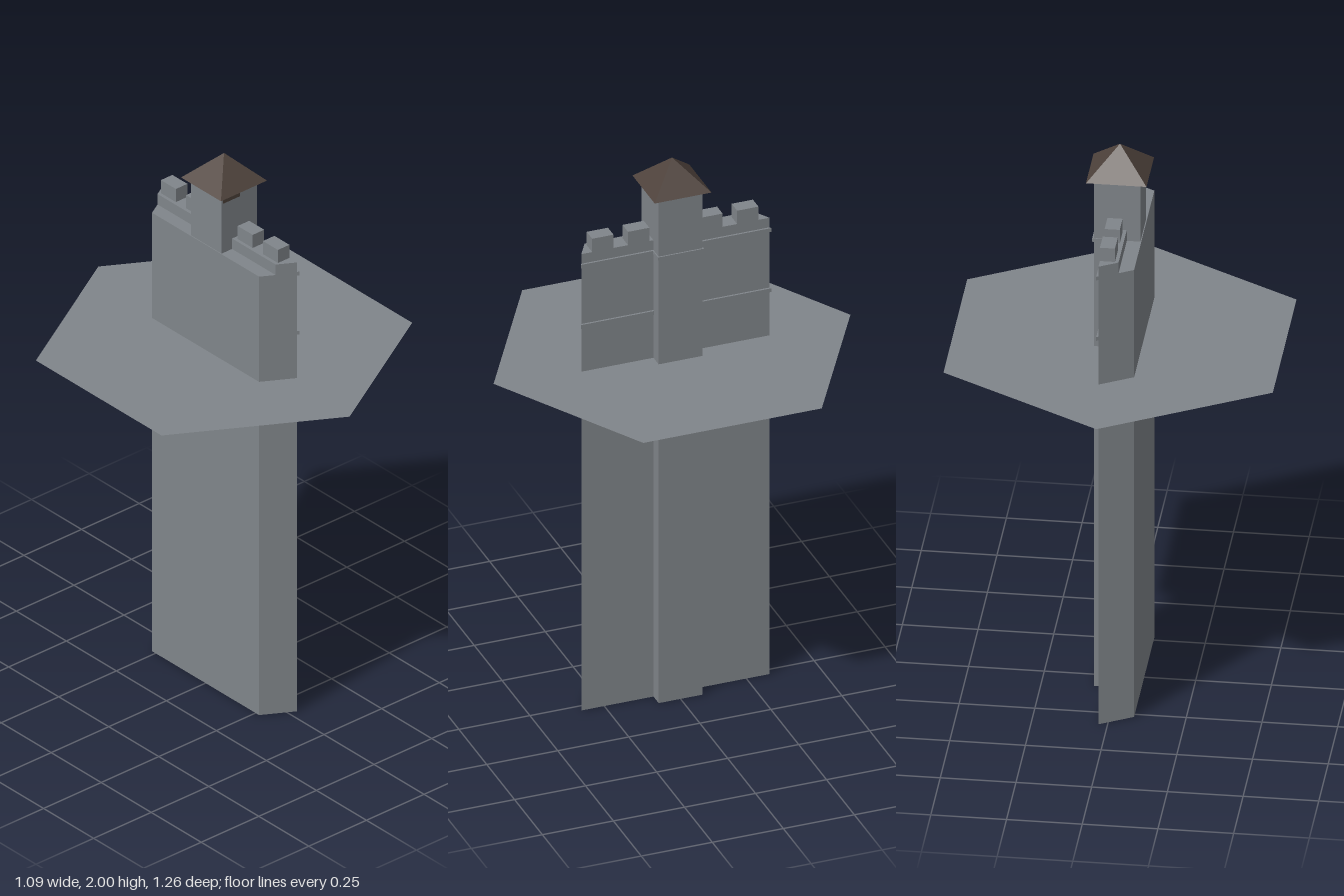
import * as THREE from 'three';

const stone = new THREE.MeshStandardMaterial({ color: 0x80858a });
stone.name = 'stone grey';
const groundStone = new THREE.MeshStandardMaterial({ color: 0x80858a, side: THREE.DoubleSide });
groundStone.name = 'ground grey';
const roofBrown = new THREE.MeshStandardMaterial({ color: 0x4e423b });
roofBrown.name = 'roof brown';

const WALL_BACK = -0.08, WALL_FRONT = 0.03;

// Half-length of the wall at a given x: its ends are mitred at 30 degrees
const halfLength = (x) => 0.331 + (x - WALL_FRONT) * Math.tan(Math.PI / 6);

// Mitred slab between two x and two y positions
function slab(name, x0, x1, y0, y1) {
  const shape = new THREE.Shape([
    new THREE.Vector2(x0, -halfLength(x0)),
    new THREE.Vector2(x1, -halfLength(x1)),
    new THREE.Vector2(x1, halfLength(x1)),
    new THREE.Vector2(x0, halfLength(x0)),
  ]);
  const geo = new THREE.ExtrudeGeometry(shape, { depth: y1 - y0, bevelEnabled: false });
  geo.rotateX(-Math.PI / 2).translate(0, y0, 0);
  const mesh = new THREE.Mesh(geo, stone);
  mesh.name = name;
  return mesh;
}

// Box given by its lower and upper limits
function box(name, material, [x0, x1], [y0, y1], [z0, z1]) {
  const geo = new THREE.BoxGeometry(x1 - x0, y1 - y0, z1 - z0);
  geo.translate((x0 + x1) / 2, (y0 + y1) / 2, (z0 + z1) / 2);
  const mesh = new THREE.Mesh(geo, material);
  mesh.name = name;
  return mesh;
}

export function createModel() {
  const model = new THREE.Group();
  model.name = 'wallTower';

  // Wall with walkway behind a raised parapet
  const wall = new THREE.Group();
  wall.name = 'wall';
  wall.add(slab('wallBody', WALL_BACK, WALL_FRONT, 0, 1.68));
  wall.add(slab('parapet', -0.032, WALL_FRONT, 1.68, 1.72));

  // Thin string courses on the outer face
  for (const y of [1.45, 1.677]) {
    wall.add(slab('stringCourse', WALL_FRONT, 0.037, y - 0.007, y + 0.007));
  }

  // Merlons, mirrored either side of the tower
  for (const side of [-1, 1]) {
    for (const z of [0.129, 0.255]) {
      wall.add(box('merlon', stone, [-0.02, WALL_FRONT], [1.72, 1.77],
        [side * z - 0.0375, side * z + 0.0375]));
    }
  }
  model.add(wall);

  // Square tower passing through the wall
  const tower = new THREE.Group();
  tower.name = 'tower';
  tower.add(box('towerShaft', stone, [-0.077, 0.077], [0, 1.9], [-0.077, 0.077]));
  tower.add(box('towerStringCourse', stone, [0.03, 0.082], [1.671, 1.683], [-0.081, 0.081]));
  tower.add(box('eavePatch', roofBrown, [-0.072, 0], [1.87, 1.9], [0.076, 0.079]));

  // Four-sided pyramid roof
  const roofGeo = new THREE.ConeGeometry(0.1 * Math.SQRT2, 0.1, 4, 1).toNonIndexed();
  roofGeo.rotateY(Math.PI / 4).translate(0, 1.95, 0);
  roofGeo.computeVertexNormals();
  const roof = new THREE.Mesh(roofGeo, roofBrown);
  roof.name = 'roof';
  tower.add(roof);
  model.add(tower);

  // Flat hexagonal ground tile, pointed along z
  const tileGeo = new THREE.CircleGeometry(0.628, 6, Math.PI / 2);
  tileGeo.rotateX(-Math.PI / 2).translate(0, 1.277, 0);
  const tile = new THREE.Mesh(tileGeo, groundStone);
  tile.name = 'groundTile';
  model.add(tile);

  return model;
}
